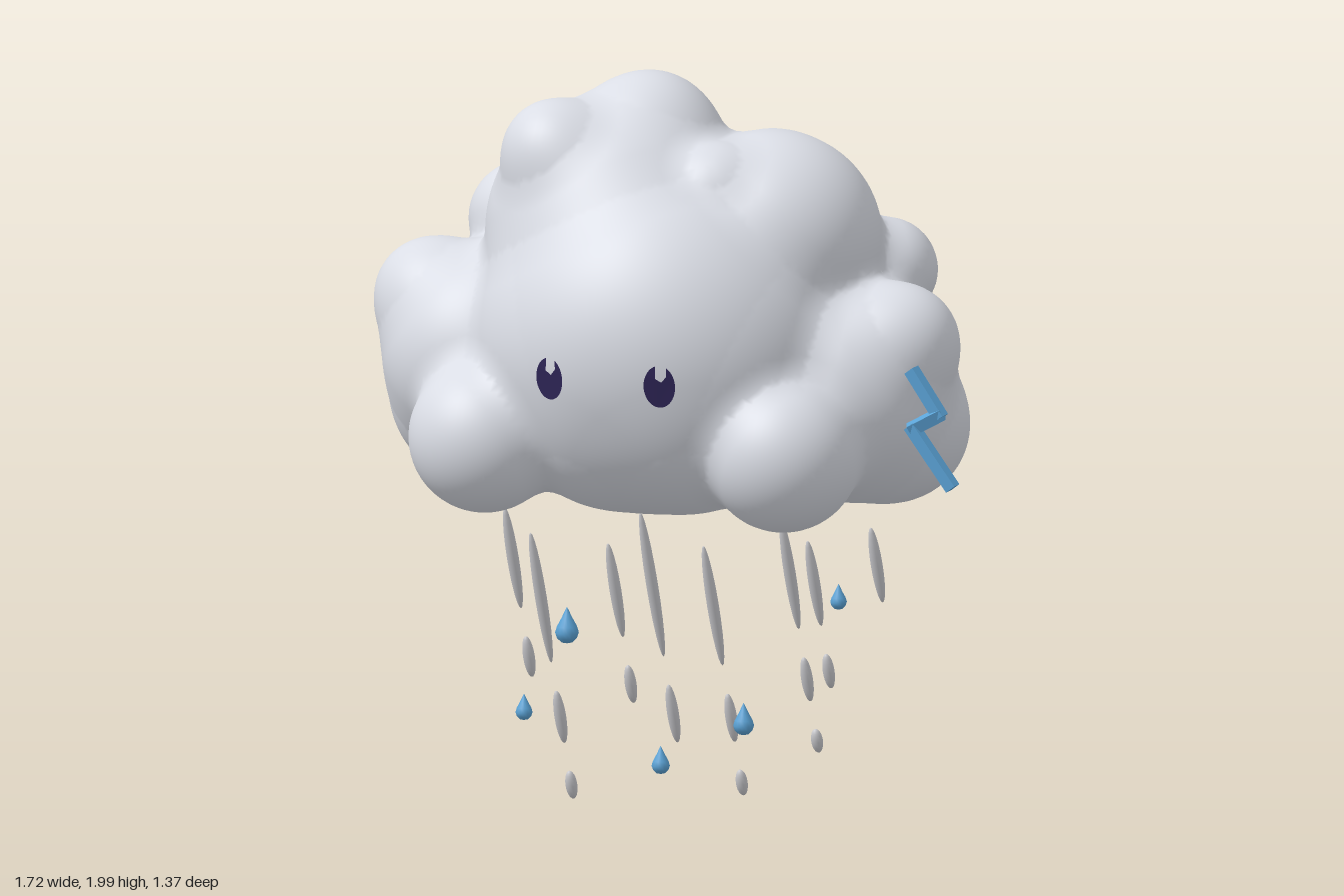
import * as THREE from 'three';

// Puffs of the cloud: x, y, z, radius
const PUFFS = [
  [0, 1.21, 0.05, 0.36],         // core
  [-0.02, 1.32, 0.22, 0.462],    // face
  [-0.13, 1.28, 0.22, 0.415],    // cheeks
  [0.07, 1.28, 0.22, 0.415],
  [0.07, 1.15, 0.32, 0.29],      // underside
  [-0.12, 1.14, 0.31, 0.285],
  [-0.25, 1.1, 0.15, 0.235],
  [0.22, 1.1, 0.15, 0.235],
  [0.02, 1.38, -0.1, 0.405],     // back
  [-0.165, 1.57, 0.12, 0.375],   // crown
  [-0.11, 1.81, 0.08, 0.19],
  [-0.31, 1.8, 0.27, 0.145],
  [0.25, 1.57, 0.1, 0.29],       // right crown
  [0.13, 1.73, 0.24, 0.11],
  [0.2, 1.67, -0.04, 0.16],
  [-0.53, 1.22, 0.14, 0.3],      // -x side
  [-0.7, 1.36, 0.14, 0.16],
  [-0.61, 1.075, 0.08, 0.215],
  [0.45, 1.18, 0.13, 0.305],     // +x side
  [0.62, 1.315, 0.15, 0.163],
  [0.56, 1.07, 0.035, 0.21],
  [-0.52, 1.54, -0.1, 0.155],    // shoulders
  [-0.335, 1.48, -0.11, 0.24],
  [0.49, 1.46, -0.12, 0.14],
  [-0.45, 1.05, 0.448, 0.205],   // lower puffs
  [0.39, 1.05, 0.435, 0.208],
  [-0.08, 1.06, -0.465, 0.22],
  [-0.45, 1.068, -0.28, 0.226],
  [0.32, 1.07, -0.32, 0.23],
];
const BLEND = 0.07;

// Distance to the smoothly blended puffs
function cloudDistance(x, y, z) {
  let d = 9;
  for (const [px, py, pz, r] of PUFFS) {
    const e = Math.hypot(x - px, y - py, z - pz) - r;
    const h = Math.max(BLEND - Math.abs(d - e), 0) / BLEND;
    // Deeply overlapping puffs blend less, so they do not swell
    d = Math.min(d, e) - h * h * BLEND * 0.2;
  }
  return d;
}

function cloudNormal(x, y, z) {
  const e = 0.004;
  return new THREE.Vector3(
    cloudDistance(x + e, y, z) - cloudDistance(x - e, y, z),
    cloudDistance(x, y + e, z) - cloudDistance(x, y - e, z),
    cloudDistance(x, y, z + e) - cloudDistance(x, y, z - e)
  ).normalize();
}

// Skin over the puffs: one vertex per grid cell the surface passes through
function cloudGeometry() {
  const h = 0.02, origin = [-1, 0.77, -0.77], size = [96, 65, 78];
  const step = [1, size[0], size[0] * size[1]];
  const count = step[2] * size[2];
  const values = new Float32Array(count);
  const at = (n) => [n % size[0], Math.floor(n / step[1]) % size[1], Math.floor(n / step[2])];
  for (let n = 0; n < count; n++) {
    values[n] = cloudDistance(...at(n).map((c, a) => origin[a] + c * h));
  }
  const vertexOf = new Int32Array(count).fill(-1);
  const positions = [], normals = [], index = [];
  for (let n = 0; n < count; n++) {
    const cell = at(n);
    if (cell.some((c, a) => c >= size[a] - 1)) continue;
    const sum = [0, 0, 0];
    let hits = 0;
    for (let corner = 0; corner < 8; corner++) {
      const bits = [corner & 1, (corner >> 1) & 1, corner >> 2];
      const m = n + bits[0] * step[0] + bits[1] * step[1] + bits[2] * step[2];
      for (let a = 0; a < 3; a++) {
        if (bits[a]) continue;
        const v0 = values[m], v1 = values[m + step[a]];
        if ((v0 < 0) === (v1 < 0)) continue;
        hits++;
        for (let b = 0; b < 3; b++) sum[b] += bits[b] + (a === b ? v0 / (v0 - v1) : 0);
      }
    }
    if (!hits) continue;
    const p = sum.map((s, a) => origin[a] + (cell[a] + s / hits) * h);
    const normal = cloudNormal(...p);
    vertexOf[n] = positions.length / 3;
    const d = cloudDistance(...p);
    positions.push(p[0] - normal.x * d, p[1] - normal.y * d, p[2] - normal.z * d);
    normals.push(normal.x, normal.y, normal.z);
  }
  // A quad around every grid edge that crosses the surface
  for (let n = 0; n < count; n++) {
    if (vertexOf[n] < 0) continue;
    for (let a = 0; a < 3; a++) {
      const inside = values[n] < 0;
      if (inside === values[n + step[a]] < 0) continue;
      const b = step[(a + 1) % 3], c = step[(a + 2) % 3];
      const quad = [n, n - b, n - b - c, n - c].map((m) => vertexOf[m]);
      if (!inside) quad.reverse();
      index.push(quad[0], quad[1], quad[2], quad[0], quad[2], quad[3]);
    }
  }
  const g = new THREE.BufferGeometry();
  g.setAttribute('position', new THREE.Float32BufferAttribute(positions, 3));
  g.setAttribute('normal', new THREE.Float32BufferAttribute(normals, 3));
  g.setIndex(index);
  return g;
}

// Oval eye with a notch for the glint, laid onto the cloud's face
function eyeGeometry(x, y) {
  const s = new THREE.Shape();
  s.absellipse(0, 0, 0.041, 0.058, 1.8, 1.1 + Math.PI * 2, false);
  s.lineTo(0.019, 0.028);
  s.lineTo(0.006, 0.012);
  s.lineTo(-0.01, 0.022);
  s.closePath();
  const g = new THREE.ShapeGeometry(s, 24);
  const pos = g.attributes.position;
  for (let i = 0; i < pos.count; i++) {
    const px = pos.getX(i) + x, py = pos.getY(i) + y;
    let z = 1.2;
    for (let k = 0; k < 60; k++) z -= cloudDistance(px, py, z);
    pos.setXYZ(i, px, py, z + 0.005);
  }
  g.computeVertexNormals();
  return g;
}

export function createModel() {
  const model = new THREE.Group();
  const material = (name, color) => {
    const m = new THREE.MeshStandardMaterial({ color });
    m.name = name;
    return m;
  };
  const cloudGrey = material('cloudGrey', 0xdadde5);
  const rainGrey = material('rainGrey', 0xcacace);
  const waterBlue = material('waterBlue', 0x5ba3d6);
  const eyePurple = material('eyePurple', 0x2f2658);

  const add = (parent, name, geometry, mat) => {
    const mesh = new THREE.Mesh(geometry, mat);
    mesh.name = name;
    parent.add(mesh);
    return mesh;
  };
  const group = (name) => {
    const g = new THREE.Group();
    g.name = name;
    model.add(g);
    return g;
  };

  add(model, 'cloud', cloudGeometry(), cloudGrey);
  add(model, 'rightEye', eyeGeometry(-0.197, 1.262), eyePurple);
  add(model, 'leftEye', eyeGeometry(0.118, 1.262), eyePurple);

  // Lightning bolt: zigzag of square bars
  const bolt = group('lightningBolt');
  const up = new THREE.Vector3(0, 1, 0);
  const corners = [[0.72, 1.275, 0.325], [0.797, 1.167, 0.335], [0.727, 1.128, 0.35], [0.838, 0.982, 0.36]]
    .map((c) => new THREE.Vector3(...c));
  for (let i = 1; i < corners.length; i++) {
    const d = corners[i].clone().sub(corners[i - 1]);
    const bar = add(bolt, 'boltBar', new THREE.BoxGeometry(0.032, d.length() + 0.02, 0.03), waterBlue);
    bar.position.copy(corners[i]).addScaledVector(d, -0.5);
    bar.quaternion.setFromUnitVectors(up, d.normalize());
  }

  // Rain: slanted chains of shrinking streaks [x, z, first length, count]
  const rain = group('rain');
  const streakGeometry = new THREE.SphereGeometry(1, 12, 12);
  const slant = new THREE.Vector3(-0.06, 1, 0.293);
  const lean = new THREE.Quaternion().setFromUnitVectors(up, slant.clone().normalize());
  const chains = [
    [-0.535, 0.035, 0.29, 2], [-0.36, 0.335, 0.375, 3], [-0.17, -0.02, 0.415, 2], [-0.115, 0.41, 0.27, 2],
    [0.138, 0.36, 0.345, 3], [0.22, -0.045, 0.315, 3], [0.38, 0.205, 0.245, 2], [0.482, -0.02, 0.215, 1],
  ];
  for (const [x, z, length, count] of chains) {
    let y = 0.772;
    for (let i = 0; i < count; i++) {
      const l = length * [1, 0.4, 0.21][i];
      const streak = add(rain, 'rainStreak', streakGeometry, rainGrey);
      streak.position.set(x, 0.77, z).addScaledVector(slant, y - l / 2 - 0.77);
      streak.scale.set(0.016, (l / 2) * slant.length(), 0.016);
      streak.quaternion.copy(lean);
      y -= l + 0.081;
    }
  }

  // Water drops: x, y, z, height
  const drops = group('waterDrops');
  const profile = [[0, -0.5], [0.16, -0.46], [0.27, -0.35], [0.32, -0.2], [0.27, -0.03], [0.15, 0.19], [0.05, 0.4], [0, 0.5]];
  const dropGeometry = new THREE.LatheGeometry(profile.map((p) => new THREE.Vector2(...p)), 16);
  for (const [x, y, z, h] of [
    [-0.236, 0.538, 0.395, 0.1], [-0.455, 0.247, 0.11, 0.072], [0.002, 0.17, 0.315, 0.077],
    [0.247, 0.303, 0.345, 0.088], [0.408, 0.588, 0.03, 0.07],
  ]) {
    const drop = add(drops, 'waterDrop', dropGeometry, waterBlue);
    drop.position.set(x, y, z);
    drop.scale.setScalar(h);
  }
  return model;
}
